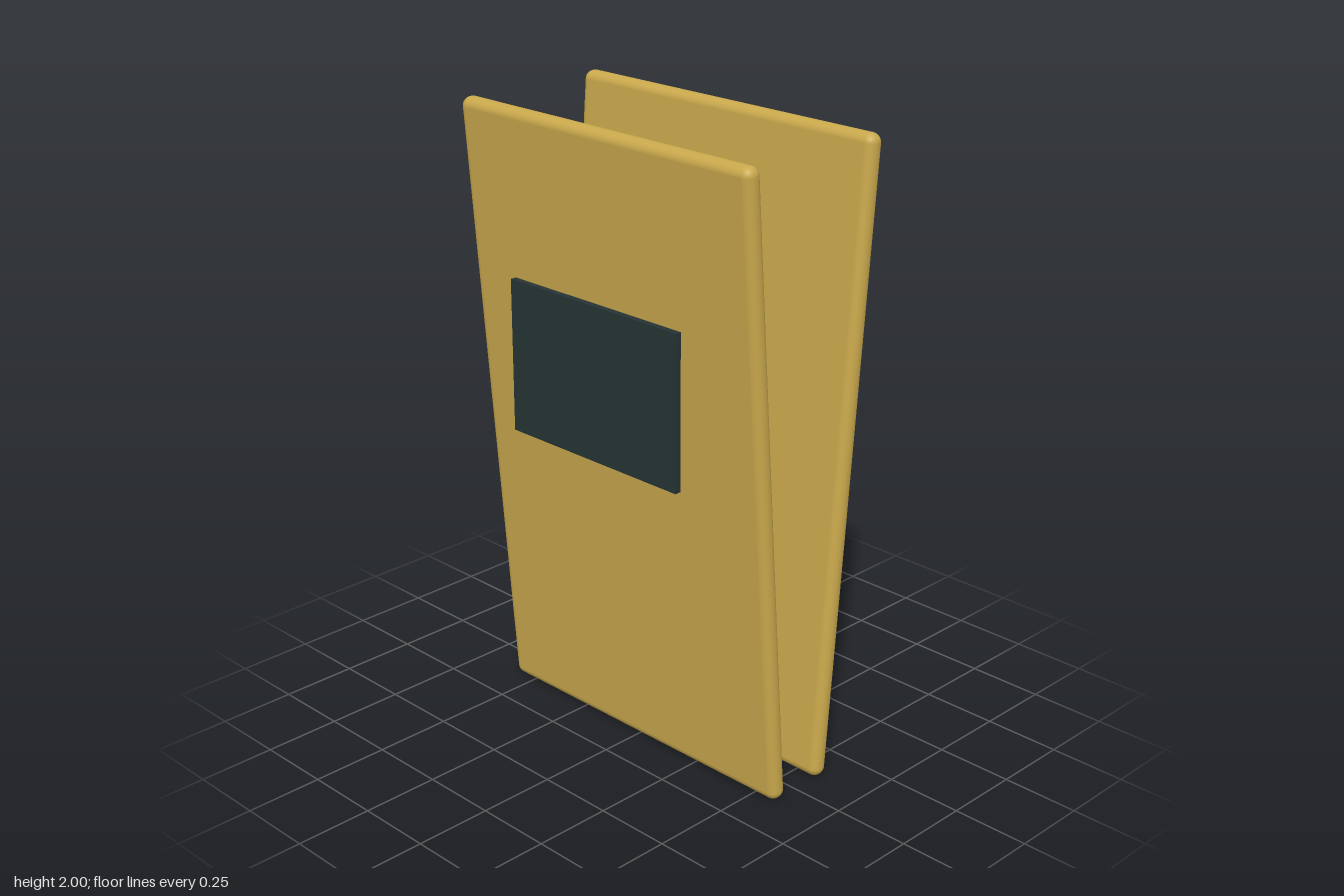
import * as THREE from 'three';
import { RoundedBoxGeometry } from 'three/addons/geometries/RoundedBoxGeometry.js';

export function createModel() {
  const model = new THREE.Group();
  model.name = 'standingPanels';

  const gold = new THREE.MeshStandardMaterial({ color: 0xc9a84c });
  gold.name = 'gold';
  const darkSlate = new THREE.MeshStandardMaterial({ color: 0x263335 });
  darkSlate.name = 'dark slate';

  // Two soft-edged boards, leaning apart towards the top
  const boardGeometry = new RoundedBoxGeometry(1.176, 2.006, 0.06, 5, 0.029);
  const addBoard = (name, z, tilt) => {
    const board = new THREE.Mesh(boardGeometry, gold);
    board.name = name;
    board.position.set(0, 1, z);
    board.rotation.x = tilt;
    model.add(board);
  };
  addBoard('frontBoard', 0.16, 0.08);
  addBoard('backBoard', -0.185, -0.08);

  // Upright dark plate floating just ahead of the front board
  const plate = new THREE.Mesh(new THREE.BoxGeometry(0.692, 0.486, 0.02), darkSlate);
  plate.name = 'frontPlate';
  plate.position.set(-0.001, 1.247, 0.281);
  model.add(plate);

  return model;
}
